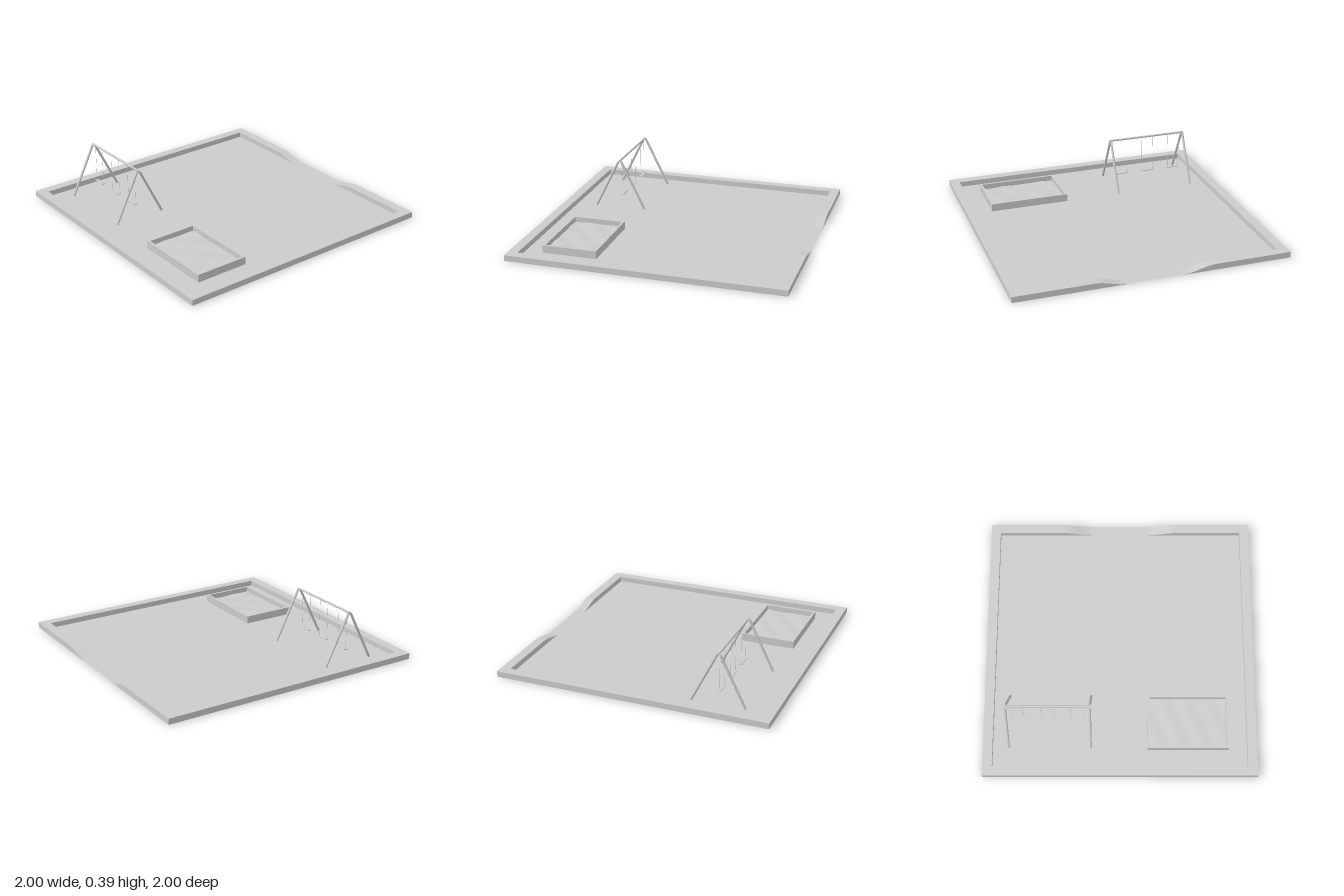
import * as THREE from 'three';

const FLOOR = 0.003, TOP = 0.043, INNER = 0.93;

export function createModel() {
  const group = new THREE.Group();
  const mat = new THREE.MeshStandardMaterial({ color: 0xcccccc });
  const open = new THREE.MeshStandardMaterial({ color: 0xcccccc, side: THREE.DoubleSide });

  const add = (parent, name, geometry, x = 0, y = 0, z = 0, material = mat) => {
    const mesh = new THREE.Mesh(geometry, material);
    mesh.name = name;
    mesh.position.set(x, y, z);
    parent.add(mesh);
    return mesh;
  };
  // Round bar between two points
  const bar = (parent, name, from, to, radius, sides = 12) => {
    const a = new THREE.Vector3(...from), b = new THREE.Vector3(...to);
    const dir = b.clone().sub(a);
    const mesh = add(parent, name, new THREE.CylinderGeometry(radius, radius, dir.length(), sides));
    mesh.position.copy(a).add(b).multiplyScalar(0.5);
    mesh.quaternion.setFromUnitVectors(new THREE.Vector3(0, 1, 0), dir.normalize());
  };

  // Ground inside the kerb
  add(group, 'ground', new THREE.PlaneGeometry(2 * INNER, 2 * INNER).rotateX(-Math.PI / 2), 0, FLOOR, 0, open);
  // Ground strip through the back entrance
  add(group, 'entrance', new THREE.PlaneGeometry(0.44, 1 - INNER).rotateX(-Math.PI / 2),
    0, FLOOR, -(1 + INNER) / 2, open);

  // Hollow kerb: an outer wall, a top and an inner wall swept round the edge,
  // running down to the ground on both sides of the entrance
  const sections = [];
  const section = (x, z, xi, zi, h) => sections.push([
    [x, 0, z], [x, h, z], [xi, h, zi], [xi, FLOOR, zi],
  ]);
  const steps = 8;
  for (let i = 0; i <= steps; i++) {
    const x = 0.21 + 0.22 * i / steps;
    const h = FLOOR + (TOP - FLOOR) * THREE.MathUtils.smoothstep(i / steps, 0, 1);
    section(x, -1, x, -INNER, h);
  }
  for (const [sx, sz] of [[1, -1], [1, 1], [-1, 1], [-1, -1]]) {
    section(sx, sz, sx * INNER, sz * INNER, TOP);
  }
  for (let i = steps; i >= 0; i--) {
    const x = -0.21 - 0.22 * i / steps;
    const h = FLOOR + (TOP - FLOOR) * THREE.MathUtils.smoothstep(i / steps, 0, 1);
    section(x, -1, x, -INNER, h);
  }
  const positions = [];
  for (let i = 0; i < sections.length - 1; i++) {
    for (let j = 0; j < 3; j++) {
      const a = sections[i][j], b = sections[i + 1][j];
      const c = sections[i + 1][j + 1], d = sections[i][j + 1];
      positions.push(...a, ...d, ...c, ...a, ...c, ...b);
    }
  }
  const kerb = new THREE.BufferGeometry();
  kerb.setAttribute('position', new THREE.Float32BufferAttribute(positions, 3));
  kerb.computeVertexNormals();
  add(group, 'kerb', kerb, 0, 0, 0, open);

  // Swing set
  const swing = new THREE.Group();
  swing.name = 'swingSet';
  swing.position.set(-0.515, 0, 0.582);
  group.add(swing);
  bar(swing, 'topBar', [-0.307, 0.381, 0], [0.307, 0.381, 0], 0.008);
  for (const sx of [-1, 1]) {
    for (const sz of [-1, 1]) {
      bar(swing, 'leg', [sx * 0.3, 0.006, sz * 0.195], [sx * 0.3, 0.375, sz * 0.01], 0.009);
    }
  }
  for (const x of [-0.227, -0.007, 0.205]) {
    add(swing, 'seat', new THREE.BoxGeometry(0.1, 0.005, 0.025), x, 0.094, 0);
    for (const s of [-1, 1]) {
      bar(swing, 'rope', [x + s * 0.046, 0.094, 0], [x + s * 0.046, 0.38, 0], 0.001, 6);
    }
  }

  // Sandbox frame
  const sandbox = new THREE.Group();
  sandbox.name = 'sandbox';
  sandbox.position.set(0.497, 0, 0.6);
  group.add(sandbox);
  const outline = (w, d, Kind) => new Kind([
    new THREE.Vector2(-w, -d), new THREE.Vector2(w, -d),
    new THREE.Vector2(w, d), new THREE.Vector2(-w, d),
  ]);
  const frame = outline(0.297, 0.2, THREE.Shape);
  frame.holes.push(outline(0.281, 0.184, THREE.Path));
  const frameGeo = new THREE.ExtrudeGeometry(frame, { depth: 0.06 - FLOOR, bevelEnabled: false });
  add(sandbox, 'sandboxFrame', frameGeo.rotateX(-Math.PI / 2), 0, FLOOR, 0);

  // Gently rippled sand
  const sand = new THREE.PlaneGeometry(0.564, 0.37, 28, 18).rotateX(-Math.PI / 2);
  const p = sand.attributes.position;
  for (let i = 0; i < p.count; i++) {
    const x = p.getX(i), z = p.getZ(i);
    p.setY(i, 0.002 * Math.sin(24 * x + 30 * z) + 0.0015 * Math.sin(38 * x - 17 * z));
  }
  sand.computeVertexNormals();
  add(sandbox, 'sand', sand, 0, 0.022, 0, open);

  return group;
}
